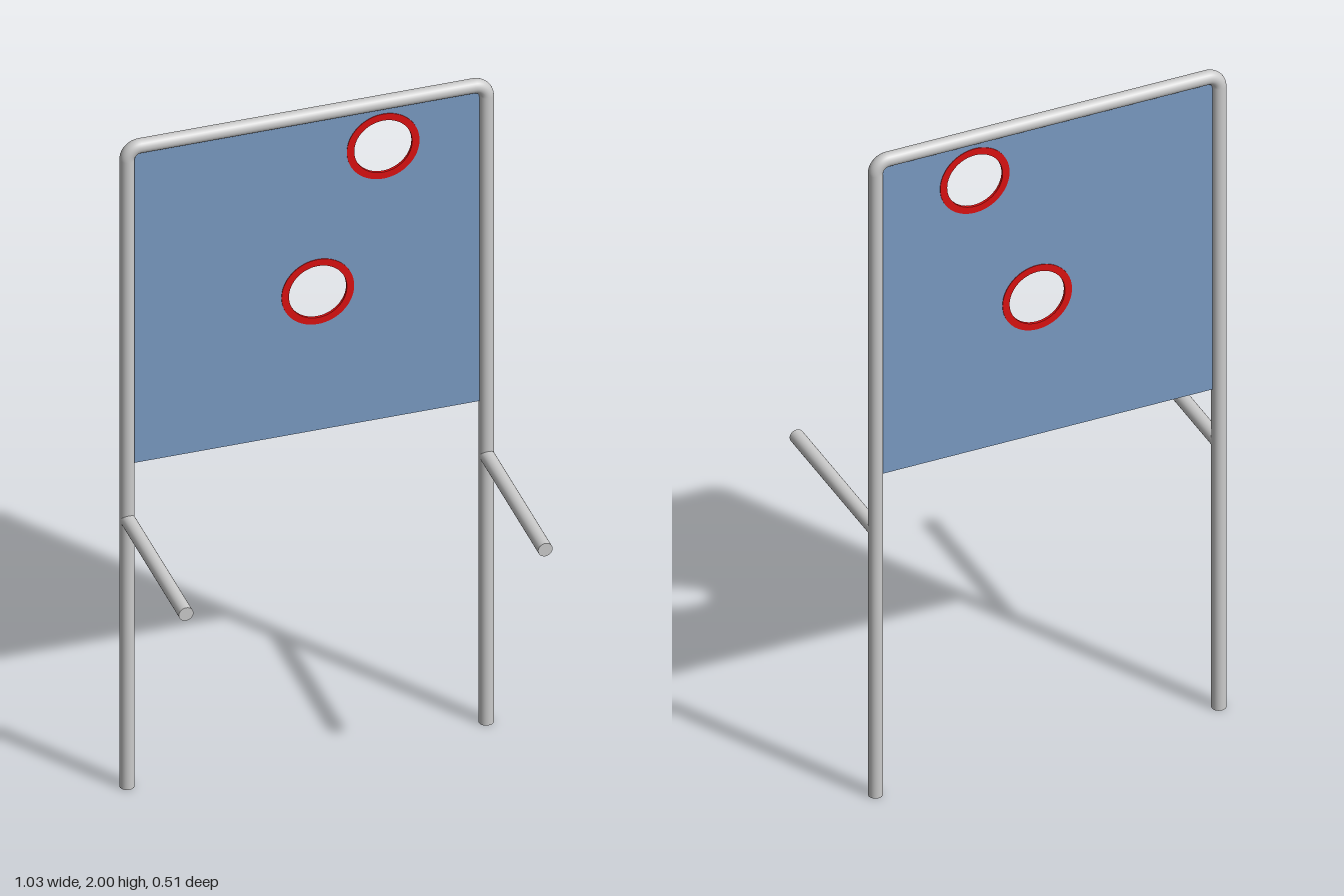
import * as THREE from 'three';

const R = 0.02;        // pipe radius
const X = 0.495;       // post centre line
const Z = -0.235;      // frame plane
const TOP = 1.98;      // crossbar centre line
const BEND = 0.035;    // corner bend radius
const SIDES = 24;

export function createModel() {
  const model = new THREE.Group();
  const grey = new THREE.MeshStandardMaterial({ color: 0xcccccc });
  const blue = new THREE.MeshStandardMaterial({ color: 0x7b9cc4 });
  const red = new THREE.MeshStandardMaterial({ color: 0xdd1111 });

  const add = (name, geometry, material, x, y, z) => {
    const mesh = new THREE.Mesh(geometry, material);
    mesh.name = name;
    mesh.position.set(x, y, z);
    model.add(mesh);
    return mesh;
  };
  const pipe = (length) => new THREE.CylinderGeometry(R, R, length, SIDES);

  // Posts, bent corners and forward support arms, mirrored left and right
  const postHeight = TOP - BEND;
  const armLength = 0.255 - Z;
  for (const [side, s] of [['left', 1], ['right', -1]]) {
    add(side + 'Post', pipe(postHeight), grey, s * X, postHeight / 2, Z);

    const corner = new THREE.TorusGeometry(BEND, R, SIDES, 12, Math.PI / 2);
    if (s < 0) corner.rotateZ(Math.PI / 2);
    add(side + 'Corner', corner, grey, s * (X - BEND), postHeight, Z);

    add(side + 'Arm', pipe(armLength).rotateX(Math.PI / 2), grey, s * X, 0.83, Z + armLength / 2);
  }

  // Crossbar
  add('crossbar', pipe(2 * (X - BEND)).rotateZ(Math.PI / 2), grey, 0, TOP, Z);

  // Thin panel with two round holes
  const holes = [[0.03, 1.43], [0.21, 1.845]];
  const outer = 0.1, inner = 0.08;
  const circle = (Kind, x, y, r) => new Kind().absarc(x, y, r, 0, Math.PI * 2, false);
  const panel = new THREE.Shape();
  panel.moveTo(-0.48, 1).lineTo(0.48, 1).lineTo(0.48, 1.967).lineTo(-0.48, 1.967).closePath();
  for (const [x, y] of holes) panel.holes.push(circle(THREE.Path, x, y, outer - 0.005));
  const sheet = (shape, depth) =>
    new THREE.ExtrudeGeometry(shape, { depth, bevelEnabled: false, curveSegments: 32 })
      .translate(0, 0, -depth / 2);
  add('panel', sheet(panel, 0.004), blue, 0, 0, Z);

  // Rims around the holes
  holes.forEach(([x, y], i) => {
    const ring = circle(THREE.Shape, 0, 0, outer);
    ring.holes.push(circle(THREE.Path, 0, 0, inner));
    add(['centreRim', 'upperRim'][i], sheet(ring, 0.008), red, x, y, Z);
  });

  return model;
}
